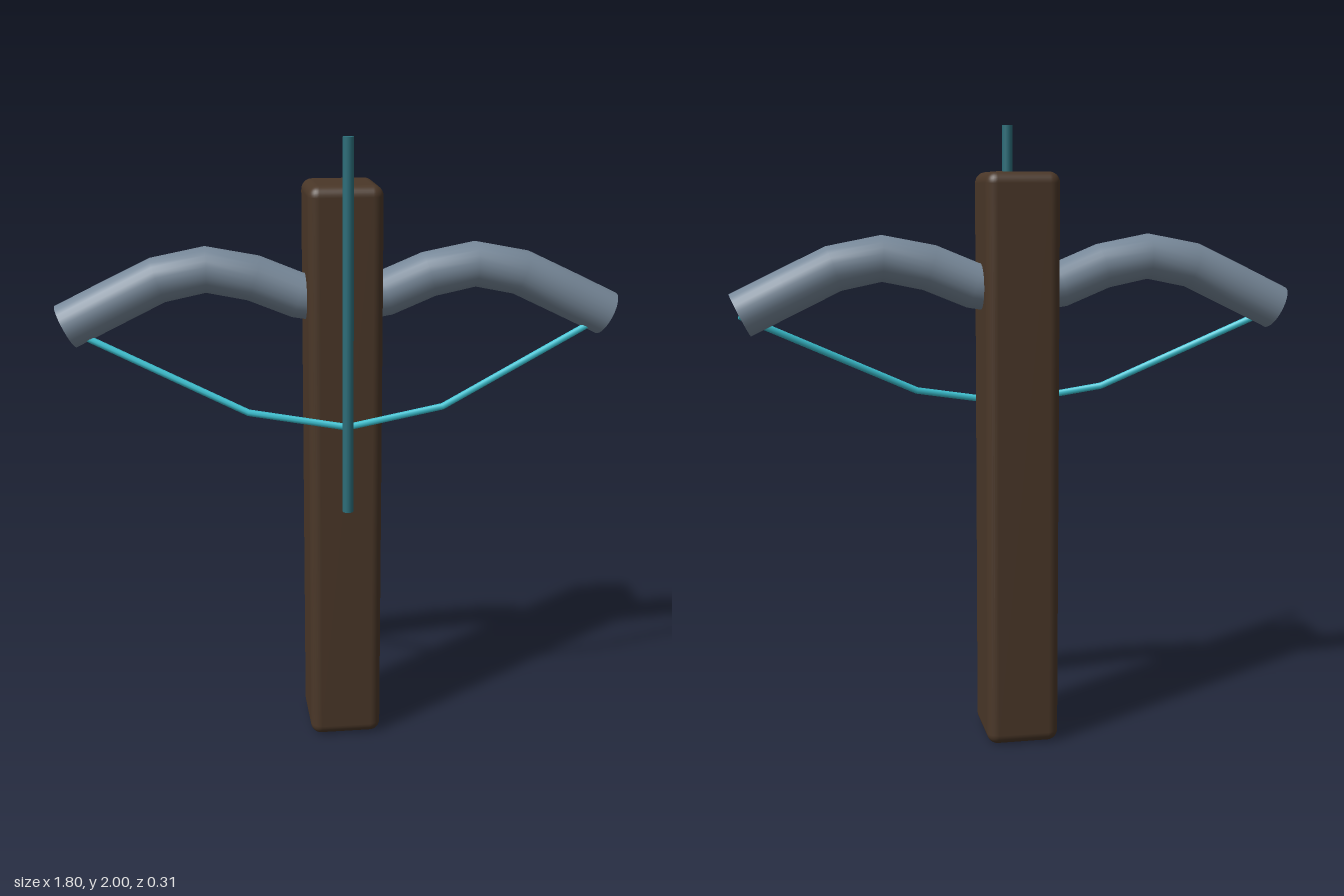
import * as THREE from 'three';
import { RoundedBoxGeometry } from 'three/addons/geometries/RoundedBoxGeometry.js';

// Tube path that lands exactly on its given points, one tube segment per span
class Polyline extends THREE.Curve {
  constructor(points) {
    super();
    this.points = points;
  }
  at(i) {
    return this.points[THREE.MathUtils.clamp(i, 0, this.points.length - 1)];
  }
  getPointAt(u, target = new THREE.Vector3()) {
    return target.copy(this.at(Math.round(u * (this.points.length - 1))));
  }
  getTangentAt(u, target = new THREE.Vector3()) {
    const i = Math.round(u * (this.points.length - 1));
    const p = this.at(i);
    const before = p.clone().sub(this.at(i - 1)).normalize();
    const after = this.at(i + 1).clone().sub(p).normalize();
    return target.copy(before).add(after).normalize();
  }
}

// Mirrors a half path (centre first, +x outwards) into a full path
function mirroredPath(half) {
  const right = half.map((p) => new THREE.Vector3(...p));
  const left = right.slice(1).reverse().map((p) => new THREE.Vector3(-p.x, p.y, p.z));
  return new Polyline([...left, ...right]);
}

function tube(half, radius, sides) {
  const path = mirroredPath(half);
  return new THREE.TubeGeometry(path, path.points.length - 1, radius, sides, false);
}

export function createModel() {
  const model = new THREE.Group();
  model.name = 'crossbow';

  const add = (name, geometry, color, side = THREE.FrontSide) => {
    const mesh = new THREE.Mesh(geometry, new THREE.MeshStandardMaterial({ color, side }));
    mesh.name = name;
    model.add(mesh);
    return mesh;
  };

  // Upright wooden stock with softened edges
  add('stock', new RoundedBoxGeometry(0.235, 1.85, 0.262, 4, 0.035), 0x4a3728)
    .position.set(0, 0.925, -0.025);

  // Recurved bow limbs, one open tube running through the stock
  const z = -0.027;
  add('bowLimbs', tube([
    [0, 1.472, z], [0.142, 1.496, z], [0.28, 1.553, z], [0.43, 1.583, z],
    [0.58, 1.553, z], [0.725, 1.483, z], [0.87, 1.412, z],
  ], 0.073, 24), 0x778899, THREE.DoubleSide);

  // Bowstring drawn forward around the bolt
  add('bowstring', tube([
    [0, 1.096, 0.12], [0.31, 1.147, 0.094], [0.59, 1.278, 0.037], [0.872, 1.41, -0.02],
  ], 0.011, 8), 0x3cc4d4, THREE.DoubleSide);

  // Bolt lying along the front of the stock
  add('bolt', new THREE.CylinderGeometry(0.0175, 0.0175, 1.18, 12), 0x2c6e7a)
    .position.set(0, 1.41, 0.139);

  return model;
}
